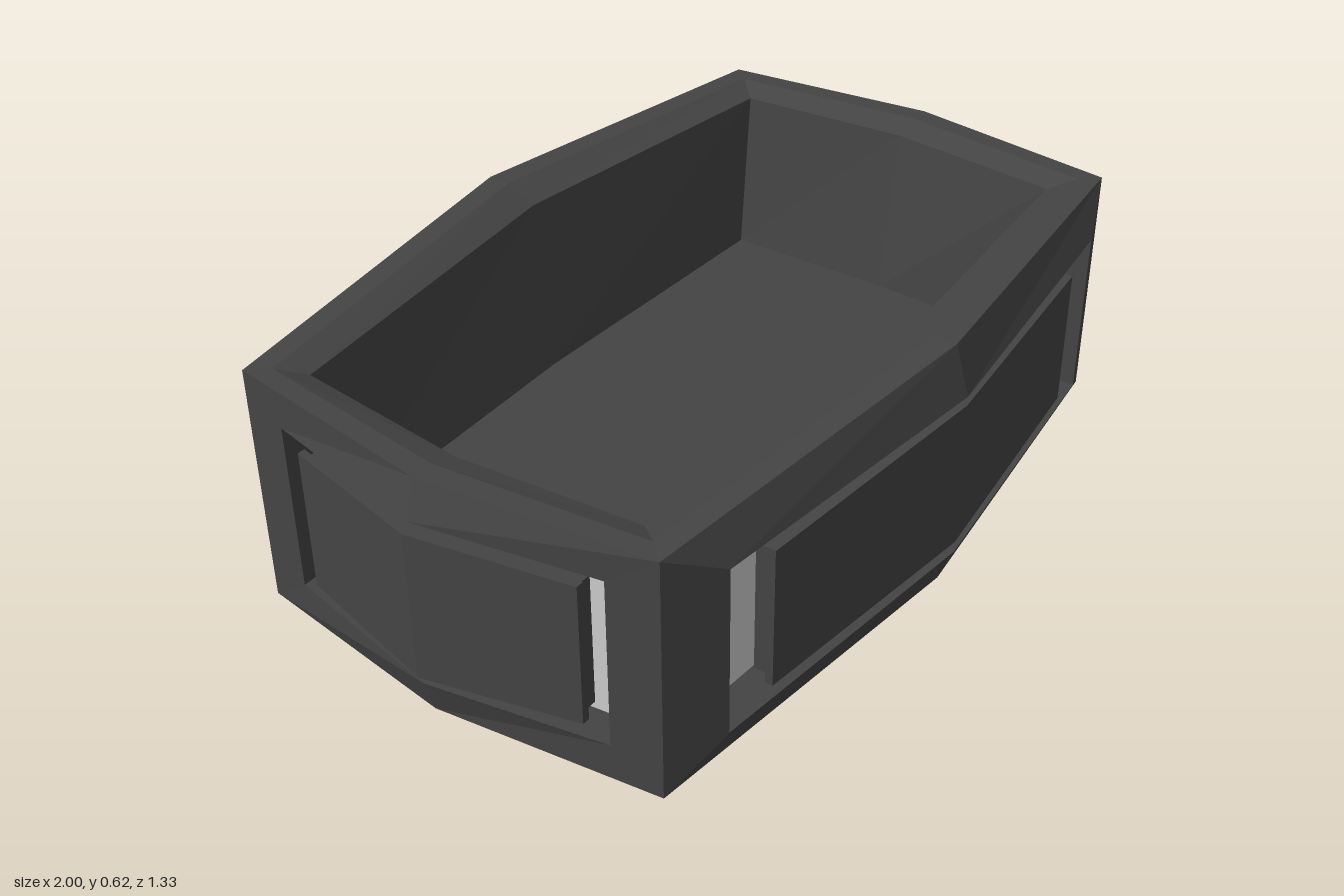
import * as THREE from 'three';

const dark = new THREE.MeshStandardMaterial({ color: 0x444444, flatShading: true });
const grey = new THREE.MeshStandardMaterial({ color: 0xcccccc, flatShading: true });

// Each wall is described in (u along the wall, y up, d outward) and turned into place.
const turns = [
  ([u, y, d]) => [u, y, d],
  ([u, y, d]) => [d, y, -u],
  ([u, y, d]) => [-u, y, -d],
  ([u, y, d]) => [-d, y, u],
];
const names = ['front', 'left', 'back', 'right'];

// Mesh from convex faces, corners counter-clockwise seen from outside
function facesMesh(name, faces, turn, material) {
  const pos = [];
  for (const f of faces) {
    const p = f.map(turn);
    for (let i = 1; i < p.length - 1; i++) pos.push(...p[0], ...p[i], ...p[i + 1]);
  }
  const geo = new THREE.BufferGeometry();
  geo.setAttribute('position', new THREE.Float32BufferAttribute(pos, 3));
  geo.computeVertexNormals();
  const mesh = new THREE.Mesh(geo, material);
  mesh.name = name;
  return mesh;
}

// Three-point line along a wall: end, bulging middle, end
const line = (u, yEnd, dEnd, yMid, dMid) => [[-u, yEnd, dEnd], [0, yMid, dMid], [u, yEnd, dEnd]];

// Two quads joining a lower line to an upper line
const band = (a, b) => [0, 1].map((i) => [a[i], a[i + 1], b[i + 1], b[i]]);

// Closed bent slab between two lines; the back may be smaller by inset
function slab(low, high, t, inset) {
  const back = (l, dy) => l.map(([u, y, d]) => [u - Math.sign(u) * inset, y + dy, d - t]);
  const lb = back(low, inset), hb = back(high, -inset);
  return [
    ...band(low, high), ...band(hb, lb), ...band(lb, low), ...band(high, hb),
    [lb[0], low[0], high[0], hb[0]], [low[2], lb[2], hb[2], high[2]],
  ];
}

const long = {
  base: line(0.89, 0, 0.53, 0, 0.63),
  ridge: line(0.89, 0.59, 0.53, 0.62, 0.63),
  ridgeIn: line(0.85, 0.59, 0.485, 0.62, 0.575),
  lip: line(0.8, 0.568, 0.43, 0.585, 0.5),
  floor: line(0.77, 0.155, 0.435, 0.155, 0.46),
  win: (y) => line(0.745, y, 0.583, y, 0.665),
  recess: (y) => line(0.745, y, 0.5, y, 0.55),
  panel: [line(0.62, 0.128, 0.6, 0.117, 0.665), line(0.62, 0.47, 0.6, 0.48, 0.665)],
};
const short = {
  base: line(0.53, 0, 0.89, 0, 0.96),
  ridge: line(0.53, 0.59, 0.89, 0.59, 0.957),
  ridgeIn: line(0.485, 0.59, 0.85, 0.59, 0.905),
  lip: line(0.43, 0.568, 0.8, 0.568, 0.84),
  floor: line(0.435, 0.155, 0.77, 0.155, 0.78),
  win: (y) => line(0.415, y, 0.907, y, 0.987),
  recess: (y) => line(0.415, y, 0.83, y, 0.885),
  panel: [line(0.36, 0.126, 0.92, 0.115, 1), line(0.36, 0.47, 0.92, 0.48, 1)],
};

export function createModel() {
  const model = new THREE.Group();
  model.name = 'tray';

  turns.forEach((turn, i) => {
    const s = i % 2 ? short : long;
    const wall = new THREE.Group();
    wall.name = names[i] + 'Wall';
    const wb = s.win(0.09), wt = s.win(0.502);
    const rb = s.recess(0.09), rt = s.recess(0.502);

    // outer frame with its window and corner posts
    wall.add(facesMesh('frame', [
      ...band(s.base, wb), ...band(wt, s.ridge),
      [s.base[0], wb[0], wt[0], s.ridge[0]],
      [wb[2], s.base[2], s.ridge[2], wt[2]],
    ], turn, dark));

    // walls of the window opening
    wall.add(facesMesh('windowReveal', [
      ...band(wb, rb), ...band(rt, wt),
      [wb[0], rb[0], rt[0], wt[0]], [rb[2], wb[2], wt[2], rt[2]],
    ], turn, dark));

    // light plate behind the window
    wall.add(facesMesh('backPlate', band(rb, rt), turn, grey));

    // top rim and inside wall
    wall.add(facesMesh('rim', [...band(s.ridge, s.ridgeIn), ...band(s.ridgeIn, s.lip)], turn, dark));
    wall.add(facesMesh('innerWall', band(s.lip, s.floor), turn, dark));

    // bent panel standing in the window, with a smaller block behind
    wall.add(facesMesh('panel', slab(...s.panel, 0.018, 0), turn, dark));
    const shrink = (l, dy) => l.map(([u, y, d]) => [u - Math.sign(u) * 0.012, y + dy, d - 0.018]);
    wall.add(facesMesh('panelBacking',
      slab(shrink(s.panel[0], 0.012), shrink(s.panel[1], -0.012), 0.035, 0), turn, dark));
    model.add(wall);
  });

  // floor and underside, each an eight-sided outline around the four walls
  const outline = (key) => turns.flatMap((turn, i) => (i % 2 ? short : long)[key].slice(0, 2).map(turn));
  const same = (p) => p;
  model.add(facesMesh('floor', [outline('floor')], same, dark));
  model.add(facesMesh('underside', [outline('base').reverse()], same, dark));
  return model;
}
